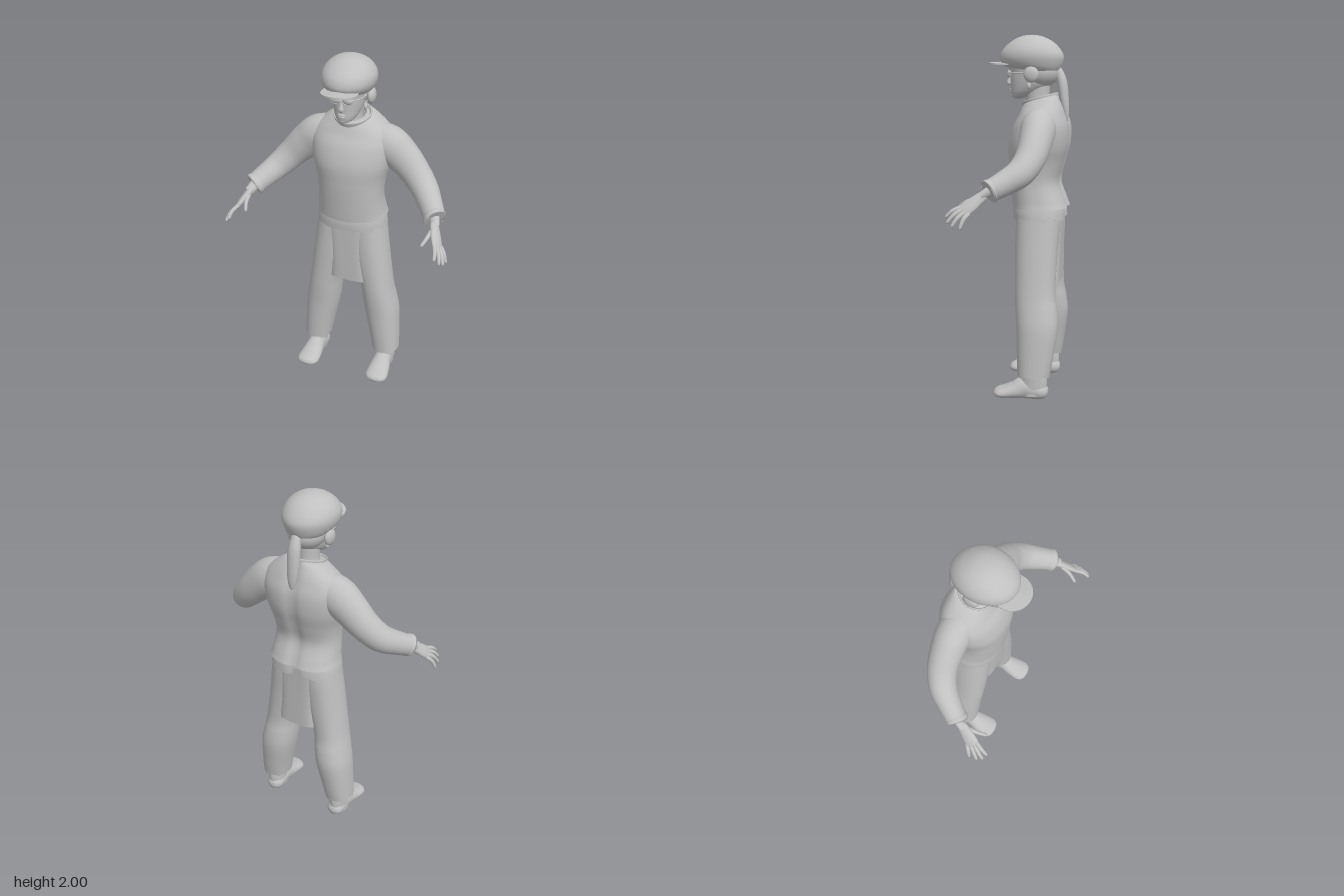
import * as THREE from 'three';

const cloth = new THREE.MeshStandardMaterial({ color: 0xc0c0c0, side: THREE.DoubleSide });
cloth.name = 'plain grey';

// Smoothly interpolate a few rows of numbers into many
function refine(rows, steps) {
  const out = [];
  const n = rows.length - 1;
  for (let k = 0; k <= n * steps; k++) {
    const i = Math.min(Math.floor(k / steps), n - 1), t = k / steps - i;
    const a = rows[Math.max(i - 1, 0)], b = rows[i], c = rows[i + 1], d = rows[Math.min(i + 2, n)];
    out.push(b.map((_, j) => {
      const m0 = (c[j] - a[j]) / 2, m1 = (d[j] - b[j]) / 2, t2 = t * t, t3 = t2 * t;
      return (2 * t3 - 3 * t2 + 1) * b[j] + (t3 - 2 * t2 + t) * m0 + (3 * t2 - 2 * t3) * c[j] + (t3 - t2) * m1;
    }));
  }
  return out;
}

// Skin closed rings of points
function skin(rings) {
  const pos = [], idx = [], m = rings[0].length;
  rings.forEach(r => r.forEach(p => pos.push(...p)));
  for (let i = 0; i < rings.length - 1; i++) {
    for (let j = 0; j < m; j++) {
      const a = i * m + j, b = i * m + (j + 1) % m;
      idx.push(a, a + m, b, b, a + m, b + m);
    }
  }
  const g = new THREE.BufferGeometry();
  g.setAttribute('position', new THREE.Float32BufferAttribute(pos, 3));
  g.setIndex(idx);
  g.computeVertexNormals();
  return g;
}

// Upright form; rows are [y, centre x, front z, back z, half width, tilt], bottom to top
function upright(rows, { pf = 2, pb = 2, notch = 0, wave = 0, seg = 56, steps = 6 } = {}) {
  const fine = refine(rows, steps);
  return skin(fine.map(([y, cx, zf, zb, rx, tilt], k) => {
    const cz = (zf + zb) / 2, rz = (zf - zb) / 2, ring = [];
    for (let j = 0; j < seg; j++) {
      const a = j / seg * Math.PI * 2, c = Math.cos(a), s = Math.sin(a);
      const e = 2 / (s > 0 ? pf : pb);
      const x = Math.sign(c) * Math.abs(c) ** e * Math.max(rx, 0);
      let z = Math.sign(s) * Math.abs(s) ** e * rz;
      if (s < 0) z += notch * Math.exp(-((x / 0.03) ** 2));
      const hem = k === 0 ? wave * Math.sin(a * 6) : 0;
      ring.push([cx + x, y + tilt * z + hem, cz + z]);
    }
    return ring;
  }));
}

// Tapered limb; rows are [x, y, z, half width, half thickness]
function limb(rows, { ref = [0, 0, 1], side = 1, round = 0, seg = 24, steps = 8 } = {}) {
  const fine = refine(rows.map(r => [r[0] * side, ...r.slice(1)]), steps);
  const up = new THREE.Vector3(ref[0] * side, ref[1], ref[2]);
  const pts = fine.map(r => new THREE.Vector3(r[0], r[1], r[2]));
  const last = fine.length - 1;
  return skin(fine.map((r, i) => {
    const t = pts[Math.min(i + 1, last)].clone().sub(pts[Math.max(i - 1, 0)]).normalize();
    const u = t.clone().cross(up).normalize(), v = u.clone().cross(t);
    const edge = Math.min(i, last - i) / last;
    const f = round && edge < round ? Math.sqrt(1 - (1 - edge / round) ** 2) : 1;
    const ring = [];
    for (let j = 0; j < seg; j++) {
      const a = j / seg * Math.PI * 2;
      ring.push(pts[i].clone().addScaledVector(u, Math.cos(a) * r[3] * f)
        .addScaledVector(v, Math.sin(a) * r[4] * f).toArray());
    }
    return ring;
  }));
}

export function createModel() {
  const root = new THREE.Group();
  root.name = 'figure';
  const add = (name, geo) => {
    const mesh = new THREE.Mesh(geo, cloth);
    mesh.name = name;
    root.add(mesh);
    return mesh;
  };
  const ball = (name, x, y, z, rx, ry, rz) =>
    add(name, new THREE.SphereGeometry(1, 24, 16).scale(rx, ry, rz).translate(x, y, z));

  // Jacket, with a separate hem layer and a standing collar
  add('jacket', upright([
    [1.06, 0, 0.045, -0.268, 0.201, 0], [1.1, 0, 0.05, -0.253, 0.193, 0], [1.2, 0, 0.06, -0.22, 0.185, 0],
    [1.3, 0, 0.068, -0.24, 0.195, 0], [1.4, 0, 0.07, -0.266, 0.222, 0], [1.5, 0, 0.045, -0.27, 0.232, 0],
    [1.57, 0, 0.012, -0.25, 0.212, -0.05], [1.62, 0, -0.005, -0.228, 0.16, -0.15],
    [1.655, 0, -0.02, -0.205, 0.105, -0.22], [1.655, 0, -0.04, -0.18, 0.07, -0.22],
  ], { pf: 2.1, pb: 2.6, notch: 0.016, seg: 72 }));
  add('jacketHem', upright([
    [0.998, 0, 0.04, -0.253, 0.203, 0], [1.04, 0, 0.043, -0.25, 0.198, 0], [1.09, 0, 0.04, -0.24, 0.188, 0],
  ], { pf: 2.2, pb: 2.6, notch: 0.016, wave: 0.007, seg: 72 }));
  add('collar', upright([
    [1.635, 0, -0.008, -0.205, 0.098, -0.25], [1.66, 0, 0, -0.203, 0.106, -0.26], [1.662, 0, -0.008, -0.195, 0.098, -0.26],
    [1.635, 0, -0.02, -0.185, 0.085, -0.25],
  ], { steps: 4 }));

  // Skirt panels hanging over both thighs
  add('skirtPanel', upright([
    [0.645, 0.015, 0.008, -0.228, 0.13, 0], [0.8, 0.008, 0.014, -0.232, 0.118, 0], [1.03, 0, 0.02, -0.24, 0.13, 0],
  ], { pf: 4, pb: 4 }));

  // Neck, head and face
  add('neck', upright([
    [1.58, 0, -0.02, -0.18, 0.075, 0], [1.65, 0, -0.025, -0.155, 0.058, 0], [1.75, 0, -0.01, -0.16, 0.06, 0],
  ]));
  add('head', upright([
    [1.654, 0, 0.03, 0.01, 0.004, 0], [1.662, 0, 0.05, -0.02, 0.034, 0], [1.685, 0, 0.058, -0.09, 0.058, 0],
    [1.72, 0, 0.06, -0.15, 0.074, 0], [1.76, 0, 0.063, -0.18, 0.083, 0], [1.8, 0, 0.064, -0.195, 0.088, 0],
    [1.85, 0, 0.075, -0.2, 0.095, 0], [1.9, 0, 0.06, -0.18, 0.09, 0],
  ], { pf: 2.2 }));
  add('nose', limb([
    [0, 1.8, 0.06, 0.008, 0.01], [0, 1.765, 0.068, 0.01, 0.011], [0, 1.742, 0.072, 0.016, 0.013], [0, 1.73, 0.066, 0.014, 0.01],
  ], { round: 0.2 }));
  ball('upperLip', 0, 1.706, 0.057, 0.023, 0.006, 0.011);
  ball('lowerLip', 0, 1.694, 0.055, 0.019, 0.007, 0.011);
  ball('chin', 0, 1.67, 0.042, 0.022, 0.015, 0.014);
  ball('hair', 0, 1.8, -0.095, 0.1, 0.09, 0.115);
  add('ponytail', limb([
    [0, 1.83, -0.195, 0.02, 0.018], [0, 1.75, -0.222, 0.034, 0.028], [0, 1.65, -0.236, 0.034, 0.026],
    [0, 1.58, -0.246, 0.025, 0.018], [0, 1.53, -0.25, 0.012, 0.008],
  ], { round: 0.1 }));

  // Soft cap and its peak
  add('cap', upright([
    [1.81, 0, 0.06, -0.17, 0.085, 0.12], [1.812, 0, 0.09, -0.195, 0.108, 0.12], [1.835, 0, 0.112, -0.217, 0.13, 0.08],
    [1.875, 0, 0.121, -0.232, 0.144, 0], [1.915, 0, 0.108, -0.218, 0.14, 0], [1.955, 0, 0.07, -0.182, 0.115, 0],
    [1.983, 0, 0.025, -0.135, 0.076, 0], [1.996, 0, -0.015, -0.095, 0.036, 0], [2, 0, -0.055, -0.055, 0, 0],
  ]));
  const peak = new THREE.CylinderGeometry(1, 1, 0.008, 40, 3).scale(0.098, 1, 0.1);
  const pp = peak.attributes.position;
  for (let i = 0; i < pp.count; i++) pp.setY(i, pp.getY(i) - pp.getX(i) ** 2 * 1.2);
  peak.computeVertexNormals();
  add('capPeak', peak.translate(0, 1.851, 0.09));

  // Bridge of the glasses
  add('glassesBridge', new THREE.CylinderGeometry(0.003, 0.003, 0.02, 8).rotateZ(Math.PI / 2).translate(0, 1.793, 0.078));

  for (const s of [1, -1]) {
    const sideName = s > 0 ? 'left' : 'right';
    const part = (name, rows, opt = {}) => add(sideName + name, limb(rows, { side: s, ...opt }));

    // Glasses and ear covers
    ball(sideName + 'Lens', s * 0.035, 1.79, 0.062, 0.027, 0.019, 0.012);
    add(sideName + 'LensRim', new THREE.TorusGeometry(1, 0.13, 8, 28).scale(0.028, 0.02, 0.025)
      .rotateY(s * 0.2).translate(s * 0.035, 1.79, 0.067));
    part('GlassesArm', [[0.062, 1.795, 0.062, 0.003, 0.004], [0.09, 1.795, 0.02, 0.003, 0.004],
      [0.1, 1.795, -0.06, 0.003, 0.004]], { ref: [0, 1, 0], seg: 8 });
    ball(sideName + 'EarCover', s * 0.117, 1.786, -0.073, 0.022, 0.044, 0.042);
    ball(sideName + 'EarLobe', s * 0.09, 1.725, -0.055, 0.01, 0.018, 0.012);

    // Sleeve, cuff and forearm
    part('Sleeve', [
      [0.1, 1.53, -0.125, 0.09, 0.085], [0.2, 1.497, -0.128, 0.107, 0.095], [0.28, 1.437, -0.127, 0.098, 0.088],
      [0.36, 1.358, -0.115, 0.084, 0.08], [0.43, 1.288, -0.075, 0.075, 0.074], [0.485, 1.24, -0.005, 0.066, 0.064],
      [0.53, 1.203, 0.062, 0.06, 0.056],
    ], { seg: 36 });
    part('Cuff', [[0.518, 1.213, 0.045, 0.06, 0.056], [0.528, 1.205, 0.06, 0.065, 0.061],
      [0.533, 1.201, 0.066, 0.061, 0.057], [0.518, 1.213, 0.045, 0.05, 0.047]], { steps: 3 });
    part('Forearm', [[0.48, 1.245, -0.01, 0.04, 0.038], [0.525, 1.205, 0.06, 0.031, 0.026],
      [0.545, 1.175, 0.105, 0.027, 0.021]]);

    // Hand
    const ref = [0.8, 0.6, 0.07];
    part('Palm', [[0.532, 1.192, 0.08, 0.026, 0.02], [0.552, 1.158, 0.122, 0.034, 0.02],
      [0.573, 1.125, 0.163, 0.04, 0.018], [0.59, 1.098, 0.197, 0.036, 0.013]], { ref, round: 0.15 });
    const fingers = {
      IndexFinger: [[0.569, 1.125, 0.195], [0.595, 1.072, 0.278]],
      MiddleFinger: [[0.577, 1.117, 0.183], [0.62, 1.046, 0.265]],
      RingFinger: [[0.584, 1.108, 0.168], [0.634, 1.03, 0.236]],
      LittleFinger: [[0.59, 1.1, 0.153], [0.638, 1.02, 0.192]],
      Thumb: [[0.536, 1.165, 0.12], [0.508, 1.115, 0.232]],
    };
    for (const [name, [a, b]] of Object.entries(fingers)) {
      const mid = a.map((v, i) => (v + b[i]) / 2 + [0.006, 0.008, 0.004][i]);
      part(name, [[...a, 0.013, 0.012], [...mid, 0.0115, 0.011], [...b, 0.008, 0.008]], { ref, round: 0.12, seg: 12 });
    }

    // Trouser leg
    add(sideName + 'TrouserLeg', upright([
      [0.143, s * 0.222, -0.02, -0.2, 0.08, 0], [0.25, s * 0.21, -0.015, -0.218, 0.088, 0],
      [0.4, s * 0.19, -0.008, -0.238, 0.1, 0], [0.5, s * 0.175, 0, -0.232, 0.098, 0],
      [0.6, s * 0.16, 0.006, -0.218, 0.094, 0], [0.8, s * 0.123, 0.012, -0.222, 0.105, 0],
      [0.95, s * 0.103, 0.012, -0.23, 0.105, 0], [1.05, s * 0.095, 0.01, -0.23, 0.1, 0],
    ], { pf: 2.2, pb: 2.2, wave: 0.005, seg: 40 }));

    // Foot and ankle
    add(sideName + 'Ankle', upright([
      [0.03, s * 0.22, -0.03, -0.18, 0.05, 0], [0.1, s * 0.22, -0.035, -0.185, 0.05, 0],
      [0.17, s * 0.22, -0.045, -0.18, 0.05, 0], [0.26, s * 0.212, -0.05, -0.18, 0.052, 0],
    ], { seg: 32 }));
    part('Foot', [
      [0.218, 0.045, -0.192, 0.045, 0.04], [0.218, 0.055, -0.13, 0.052, 0.052], [0.22, 0.066, -0.06, 0.053, 0.062],
      [0.222, 0.05, 0, 0.062, 0.046], [0.224, 0.037, 0.06, 0.067, 0.033], [0.224, 0.032, 0.115, 0.058, 0.026],
    ], { ref: [0, 1, 0], round: 0.16, seg: 32 });
  }
  return root;
}
